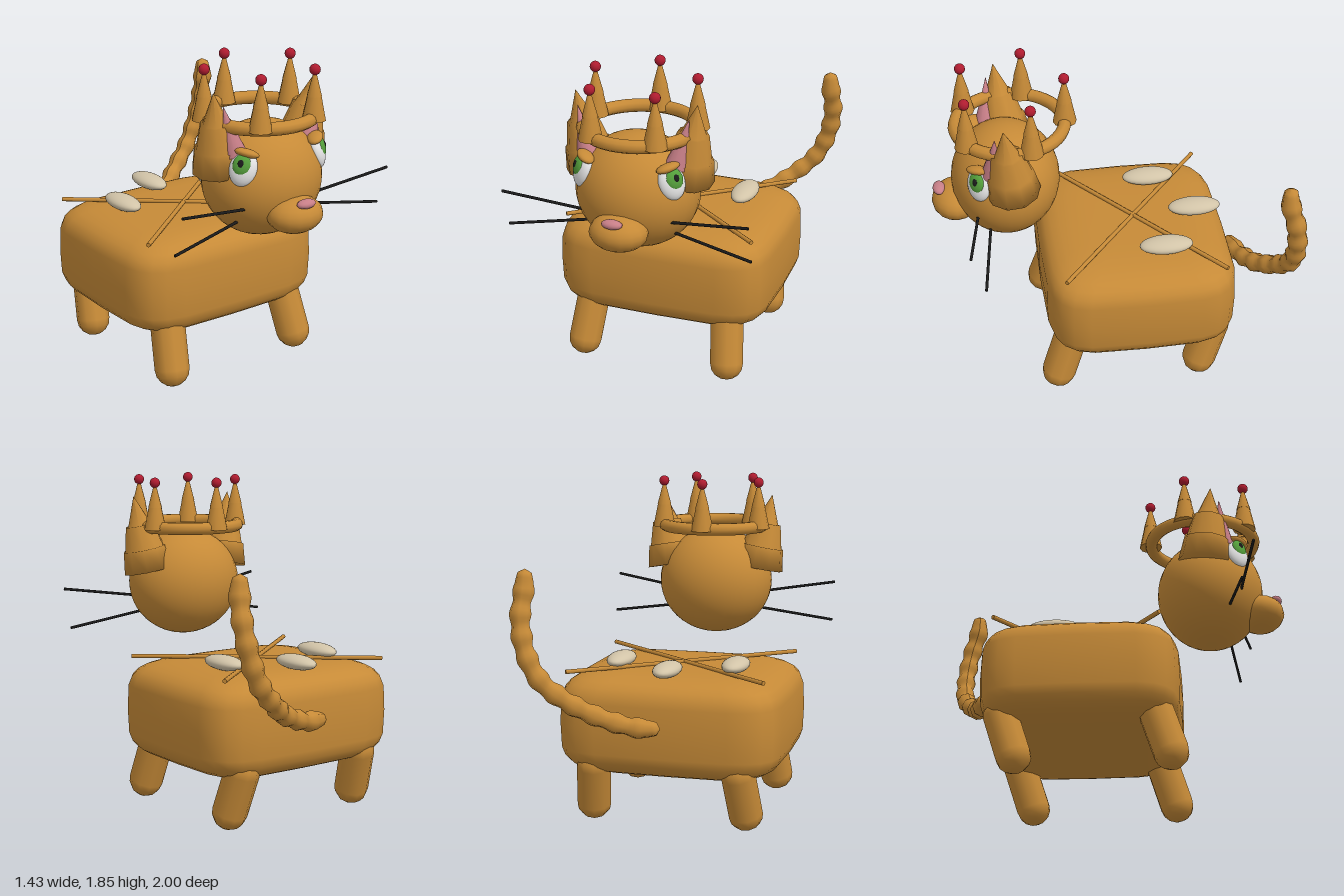
import * as THREE from 'three';
import { mergeVertices } from 'three/addons/utils/BufferGeometryUtils.js';

const mat = (name, color) => Object.assign(new THREE.MeshStandardMaterial({ color }), { name });
const V = (x, y, z) => new THREE.Vector3(x, y, z);

export function createModel() {
  const fur = mat('fur', 0xc68a37), cream = mat('cream', 0xd2c4a8), white = mat('eyeWhite', 0xe6e6e6);
  const green = mat('irisGreen', 0x55a03c), black = mat('black', 0x1a1a1a);
  const pink = mat('pink', 0xc87f88), red = mat('jewelRed', 0xb01c30);

  const model = new THREE.Group();
  model.name = 'crownedCat';
  const cat = new THREE.Group();
  cat.name = 'cat';
  cat.position.x = -0.025; // the plane of symmetry
  model.add(cat);

  const add = (name, geo, material, x = 0, y = 0, z = 0, parent = cat) => {
    const m = new THREE.Mesh(geo, material);
    m.name = name;
    m.position.set(x, y, z);
    parent.add(m);
    return m;
  };
  const ball = (name, material, pos, size, parent = cat, w = 24, h = 16) => {
    const m = add(name, new THREE.SphereGeometry(1, w, h), material, ...pos, parent);
    m.scale.set(...size);
    return m;
  };
  // Aims the +y axis of a mesh from a to b, placing its origin at a fraction t
  const aim = (m, a, b, t = 0.5) => {
    m.position.lerpVectors(a, b, t);
    m.quaternion.setFromUnitVectors(V(0, 1, 0), b.clone().sub(a).normalize());
    return m;
  };
  const rod = (name, material, a, b, r0, r1 = r0, sides = 8) =>
    aim(add(name, new THREE.CylinderGeometry(r1, r0, a.distanceTo(b), sides), material), a, b);

  // Body: a sphere squared off into a rounded block
  let bodyGeo = new THREE.SphereGeometry(1, 24, 16);
  bodyGeo.deleteAttribute('uv');
  bodyGeo.deleteAttribute('normal');
  bodyGeo = mergeVertices(bodyGeo, 1e-4);
  const p = bodyGeo.attributes.position;
  const pw = (v, e) => Math.abs(v) < 1e-6 ? 0 : Math.sign(v) * Math.abs(v) ** e;
  for (let i = 0; i < p.count; i++) {
    const y = p.getY(i), ring = Math.sqrt(Math.max(0, 1 - y * y)) || 1e-6;
    const r = pw(ring, 0.45);
    p.setXYZ(i, 0.637 * r * pw(p.getX(i) / ring, 0.4), 0.29 * pw(y, 0.45), 0.55 * r * pw(p.getZ(i) / ring, 0.4));
  }
  bodyGeo.computeVertexNormals();
  add('body', bodyGeo, fur, 0, 0.56, -0.145);

  // Crossed rods and oval spots on the back
  for (const s of [-1, 1])
    rod('backStripe', fur, V(-0.553 * s, 0.855, -0.6), V(0.553 * s, 0.855, 0.3), 0.0125);
  for (const [x, z] of [[0, -0.51], [-0.33, -0.29], [0.33, -0.29]])
    ball('backSpot', cream, [x, 0.882, z], [0.074, 0.041, 0.152]);

  // Legs lean forward toward the feet
  for (const s of [-1, 1])
    for (const [name, z] of [['frontLeg', 0.345], ['backLeg', -0.485]]) {
      const a = V(s * 0.435, 0.098, z), b = V(s * 0.41, 0.33, z - 0.075);
      aim(add(name, new THREE.CapsuleGeometry(0.098, a.distanceTo(b), 4, 10), fur), a, b);
    }

  // Tail: a lumpy tube closed at both ends
  const path = new THREE.CatmullRomCurve3([
    V(-0.02, 0.6, -0.72), V(0.12, 0.61, -0.755), V(0.32, 0.68, -0.82), V(0.47, 0.78, -0.9),
    V(0.575, 0.88, -0.94), V(0.645, 1.02, -0.95), V(0.68, 1.2, -0.93), V(0.672, 1.35, -0.89), V(0.665, 1.46, -0.885)]);
  const rings = 66, sides = 8;
  const tailGeo = new THREE.TubeGeometry(path, rings, 1, sides);
  const tp = tailGeo.attributes.position, v = V(0, 0, 0);
  for (let i = 0; i <= rings; i++) {
    const c = path.getPointAt(i / rings);
    const r = i === 0 || i === rings ? 0 : 0.053 + 0.006 * Math.cos(i / rings * Math.PI * 22);
    const end = Math.min(1, 0.5 + Math.min(i, rings - i) * 0.17);
    for (let j = 0; j <= sides; j++) {
      const k = i * (sides + 1) + j;
      v.fromBufferAttribute(tp, k).sub(c).multiplyScalar(r * end).add(c);
      tp.setXYZ(k, v.x, v.y, v.z);
    }
  }
  tailGeo.computeVertexNormals();
  add('tail', tailGeo, fur);

  // Head, muzzle and nose
  ball('head', fur, [0, 1.218, 0.575], [0.34, 0.316, 0.303], cat, 32, 24);
  ball('muzzle', fur, [0, 1.085, 0.86], [0.16, 0.1, 0.135], cat, 16, 12);
  ball('nose', pink, [0, 1.167, 0.95], [0.058, 0.025, 0.035], cat, 16, 10);

  // Stepped ear profile, radius against height
  const earProfile = [[0, 0], [0.15, 0], [0.128, 0.13], [0.118, 0.13], [0.085, 0.27], [0.07, 0.27], [0.001, 0.44]]
    .map(([x, y]) => new THREE.Vector2(x, y));

  for (const s of [-1, 1]) {
    // Eyes, turned outward and slightly up
    const eye = new THREE.Group();
    eye.name = 'eye';
    eye.position.set(s * 0.247, 1.35, 0.732);
    eye.rotation.set(-0.25, s * 0.8, -s * 0.2 * -1, 'YXZ');
    cat.add(eye);
    ball('eyeWhite', white, [0, 0, 0], [0.074, 0.096, 0.045], eye);
    ball('iris', green, [s * 0.008, 0.018, 0.03], [0.048, 0.057, 0.024], eye);
    ball('pupil', black, [s * 0.012, 0.024, 0.046], [0.018, 0.024, 0.012], eye, 14, 10);
    ball('eyelid', fur, [0, 0.083, 0.012], [0.068, 0.024, 0.045], eye, 14, 10);

    // Ears with pink inner cones
    const ear = add('ear', new THREE.LatheGeometry(earProfile, 10), fur);
    ear.material.side = THREE.DoubleSide;
    aim(ear, V(s * 0.265, 1.305, 0.55), V(s * 0.34, 1.74, 0.595), 0);
    rod('innerEar', pink, V(s * 0.245, 1.41, 0.655), V(s * 0.31, 1.67, 0.64), 0.065, 0.001, 12);

    // Whiskers
    rod('whisker', black, V(s * 0.25, 1.13, 0.75), V(s * 0.69, 1.195, 0.815), 0.008);
    rod('whisker', black, V(s * 0.25, 1.04, 0.685), V(s * 0.69, 0.972, 0.745), 0.008);
  }

  // Crown: a ring with five jewelled spikes
  const crown = new THREE.Group();
  crown.name = 'crown';
  crown.position.set(0, 1.56, 0.538);
  cat.add(crown);
  add('crownRing', new THREE.TorusGeometry(0.3, 0.036, 10, 40), fur, 0, 0, 0, crown).rotation.x = Math.PI / 2;
  for (let i = 0; i < 5; i++) {
    const a = i * Math.PI * 2 / 5, x = 0.303 * Math.sin(a), z = -0.303 * Math.cos(a);
    add('spikeBase', new THREE.CylinderGeometry(0.037, 0.066, 0.14, 10), fur, x, 0.06, z, crown);
    add('spikeTip', new THREE.CylinderGeometry(0.008, 0.041, 0.125, 10), fur, x, 0.183, z, crown);
    ball('jewel', red, [x, 0.262, z], [0.03, 0.03, 0.03], crown, 14, 10);
  }
  return model;
}
